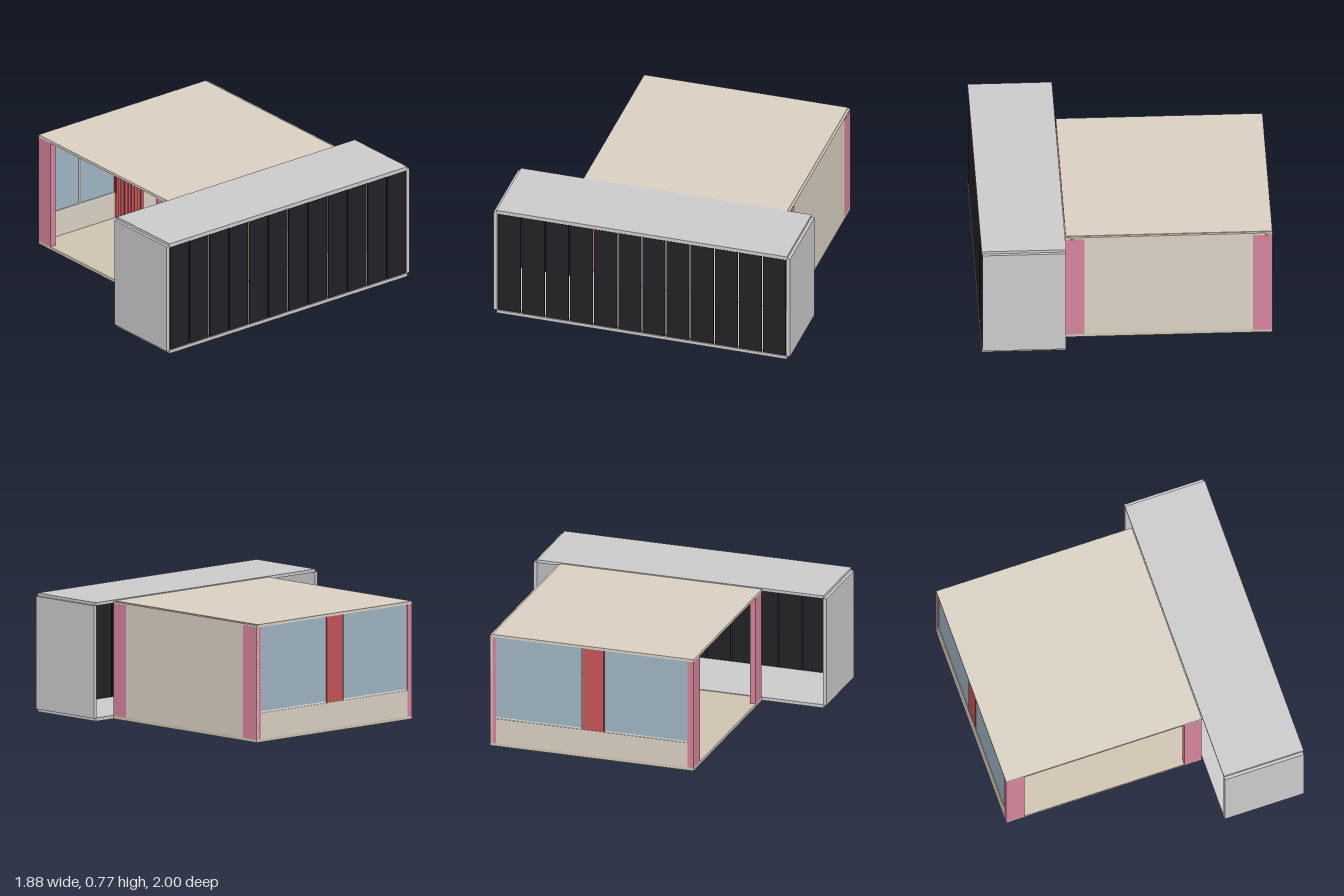
import * as THREE from 'three';

const mat = (color) => new THREE.MeshStandardMaterial({ color });
const beige = mat(0xdad1c3), floorTan = mat(0xcfc4b0), grey = mat(0xcccccc);
const pink = mat(0xd6849b), red = mat(0xc8555a), glass = mat(0x9fb6c3);
const black = mat(0x222226), white = mat(0xe8e8e4);

// Box given by its minimum and maximum corner
function box(parent, name, material, [x0, y0, z0], [x1, y1, z1]) {
  const geo = new THREE.BoxGeometry(x1 - x0, y1 - y0, z1 - z0);
  geo.translate((x0 + x1) / 2, (y0 + y1) / 2, (z0 + z1) / 2);
  const mesh = new THREE.Mesh(geo, material);
  mesh.name = name;
  parent.add(mesh);
  return mesh;
}

// Vertical curtain with zigzag pleats on all four sides
function pleatedCurtain(parent, x0, x1, z0, z1, y0, y1) {
  const corners = [[x0, z0], [x1, z0], [x1, z1], [x0, z1]];
  const pleats = 6, depth = 0.012;
  const points = [];
  corners.forEach(([ax, az], i) => {
    const [bx, bz] = corners[(i + 1) % 4];
    const len = Math.hypot(bx - ax, bz - az);
    for (let k = 0; k < pleats * 2; k++) {
      const t = k / (pleats * 2);
      const d = k % 2 ? depth : 0;
      // inward normal of this side
      const nx = -(bz - az) / len, nz = (bx - ax) / len;
      points.push(new THREE.Vector2(ax + (bx - ax) * t + nx * d, -(az + (bz - az) * t + nz * d)));
    }
  });
  const geo = new THREE.ExtrudeGeometry(new THREE.Shape(points), { depth: y1 - y0, bevelEnabled: false });
  geo.rotateX(-Math.PI / 2);
  geo.translate(0, y0, 0);
  const mesh = new THREE.Mesh(geo, red);
  mesh.name = 'pleatedCurtain';
  parent.add(mesh);
}

function createRoom() {
  const room = new THREE.Group();
  room.name = 'room';
  const L = -0.945, R = 0.39, B = -0.83, F = 0.56;

  // Slabs and back wall
  box(room, 'roomFloor', floorTan, [L, 0, B], [R, 0.02, F]);
  box(room, 'roomRoof', beige, [L, 0.752, -0.815], [R, 0.77, F]);
  box(room, 'backWall', beige, [L, 0.02, B], [R, 0.765, -0.815]);

  // Pink corner panels, front and back
  for (const [x0, x1] of [[L, -0.82], [0.27, R - 0.002]]) {
    box(room, 'frontPanel', pink, [x0, 0.02, 0.52], [x1, 0.752, F]);
    box(room, 'backPanel', pink, [x0, 0.02, B - 0.001], [x1, 0.752, -0.79]);
  }

  // Left wall: low sill wall with glazing on either side of a curtain
  box(room, 'sillWall', beige, [L, 0.02, -0.79], [-0.925, 0.19, 0.52]);
  for (const [z0, z1] of [[-0.79, -0.205], [-0.05, 0.52]]) {
    const mid = (z0 + z1) / 2;
    box(room, 'windowPane', glass, [-0.94, 0.2, z0], [-0.932, 0.752, z1]);
    box(room, 'windowSill', white, [-0.94, 0.19, z0], [-0.922, 0.2, z1]);
    box(room, 'windowMullion', white, [-0.932, 0.2, mid - 0.008], [-0.924, 0.752, mid + 0.008]);
  }
  pleatedCurtain(room, -0.922, -0.82, -0.205, -0.05, 0.02, 0.752);
  box(room, 'curtainBack', red, [-0.942, 0.19, -0.2], [-0.91, 0.752, -0.055]);

  // Flat ceiling lights
  for (const x of [-0.72, -0.05]) {
    box(room, 'ceilingLight', white, [x, 0.747, -0.25], [x + 0.22, 0.752, -0.03]);
  }
  return room;
}

function createWing() {
  const wing = new THREE.Group();
  wing.name = 'wing';
  const x0 = 0.395, x1 = 0.935;

  // Tray-shaped shell, open towards the room
  box(wing, 'wingFloor', grey, [x0, 0, -0.98], [0.94, 0.022, 0.98]);
  box(wing, 'wingRoof', grey, [x0, 0.755, -0.98], [0.94, 0.775, 0.98]);
  for (const s of [-1, 1]) {
    box(wing, 'endWall', grey, [x0, 0.02, s > 0 ? 0.977 : -1], [x1, 0.757, s > 0 ? 1 : -0.977]);
  }

  // Row of dark facade panels with narrow gaps
  const count = 12, pitch = 1.952 / count;
  for (let i = 0; i < count; i++) {
    const z = -0.976 + i * pitch;
    box(wing, 'facadePanel', black, [0.927, 0.025, z + 0.005], [0.937, 0.747, z + pitch - 0.005]);
  }
  box(wing, 'facadeTopRail', white, [0.925, 0.747, -0.977], [0.935, 0.755, 0.977]);
  return wing;
}

export function createModel() {
  const model = new THREE.Group();
  model.name = 'pavilion';
  model.add(createRoom(), createWing());
  return model;
}
